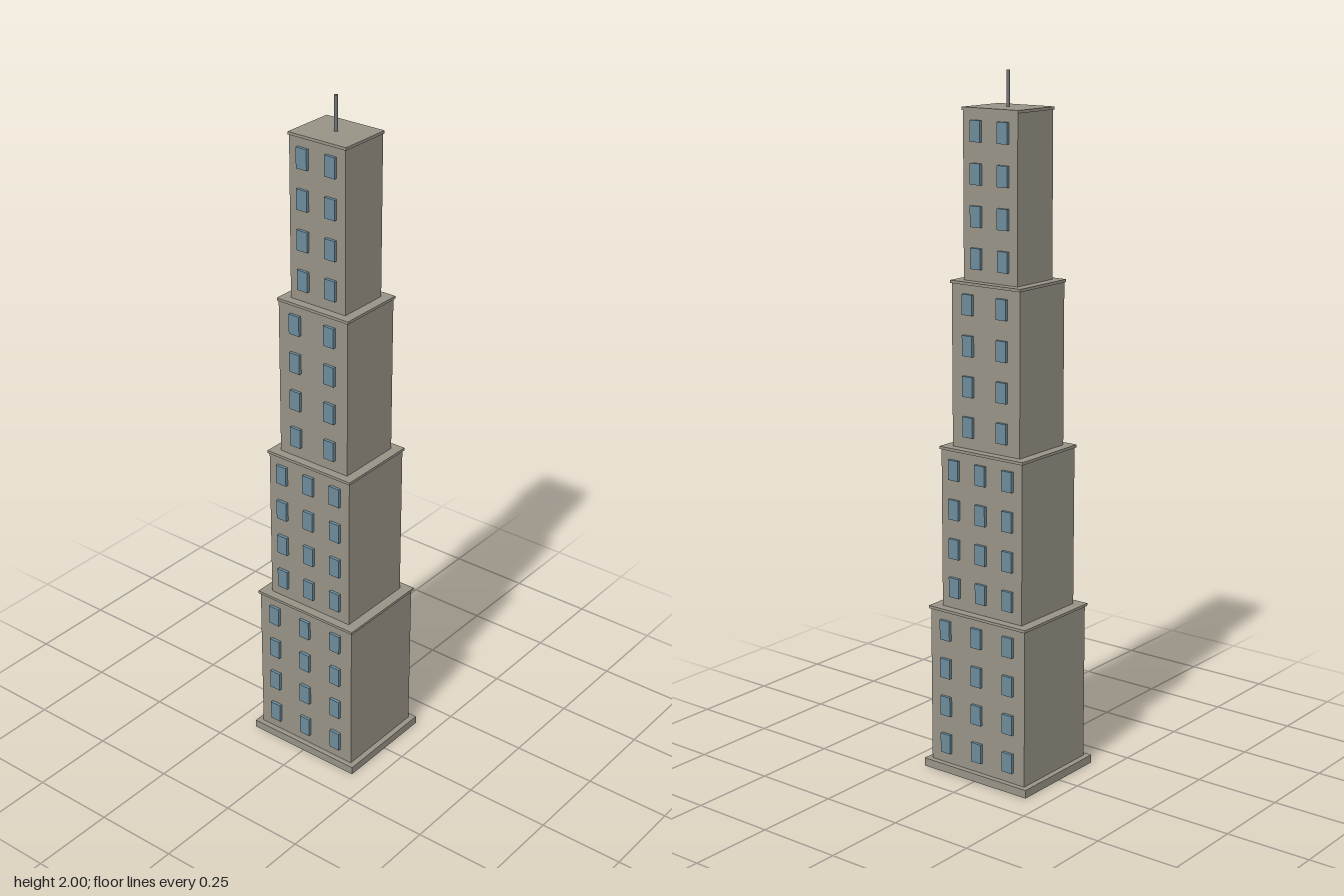
import * as THREE from 'three';

export function createModel() {
  const stone = new THREE.MeshStandardMaterial({ color: 0x979286 });
  stone.name = 'stone';
  const glass = new THREE.MeshStandardMaterial({ color: 0x6c8b9a });
  glass.name = 'glass';
  const metal = new THREE.MeshStandardMaterial({ color: 0x73757a });
  metal.name = 'metal';

  const tower = new THREE.Group();
  tower.name = 'tower';

  // Box given by half sizes and bottom/top heights
  function block(parent, name, material, halfX, halfZ, y0, y1, x = 0, z = 0) {
    const mesh = new THREE.Mesh(
      new THREE.BoxGeometry(halfX * 2, y1 - y0, halfZ * 2), material);
    mesh.position.set(x, (y0 + y1) / 2, z);
    mesh.name = name;
    parent.add(mesh);
  }

  // Plinth
  const baseTop = 0.024;
  block(tower, 'plinth', stone, 0.185, 0.158, 0, baseTop);

  // Stepped tiers with a thin cornice and windows on the front and back
  const tierHeight = 0.47;
  const tiers = [
    { halfX: 0.168, halfZ: 0.142, columns: 3 },
    { halfX: 0.142, halfZ: 0.121, columns: 3 },
    { halfX: 0.118, halfZ: 0.1, columns: 2 },
    { halfX: 0.093, halfZ: 0.078, columns: 2 },
  ];
  tiers.forEach(({ halfX, halfZ, columns }, i) => {
    const tier = new THREE.Group();
    tier.name = `tier${i + 1}`;
    tower.add(tier);

    const y0 = baseTop + i * tierHeight;
    const top = 0.492 + i * tierHeight;
    block(tier, 'walls', stone, halfX, halfZ, i ? y0 - 0.003 : y0, top - 0.008);
    block(tier, 'cornice', stone, halfX * 1.03, halfZ * 1.035, top - 0.008, top);

    const spacing = (halfX * 2) / columns;
    for (let row = 0; row < 4; row++) {
      const y = 0.085 + i * tierHeight + row * 0.115;
      for (let col = 0; col < columns; col++) {
        const x = (col - (columns - 1) / 2) * spacing;
        for (const side of [1, -1]) {
          block(tier, 'window', glass, 0.0175, 0.0048, y - 0.029, y + 0.029,
            x, side * (halfZ + 0.0042));
        }
      }
    }
  });

  // Roof mast
  const mast = new THREE.Mesh(new THREE.CylinderGeometry(0.005, 0.005, 0.1, 8), metal);
  mast.position.y = 1.95;
  mast.name = 'mast';
  tower.add(mast);

  return tower;
}
